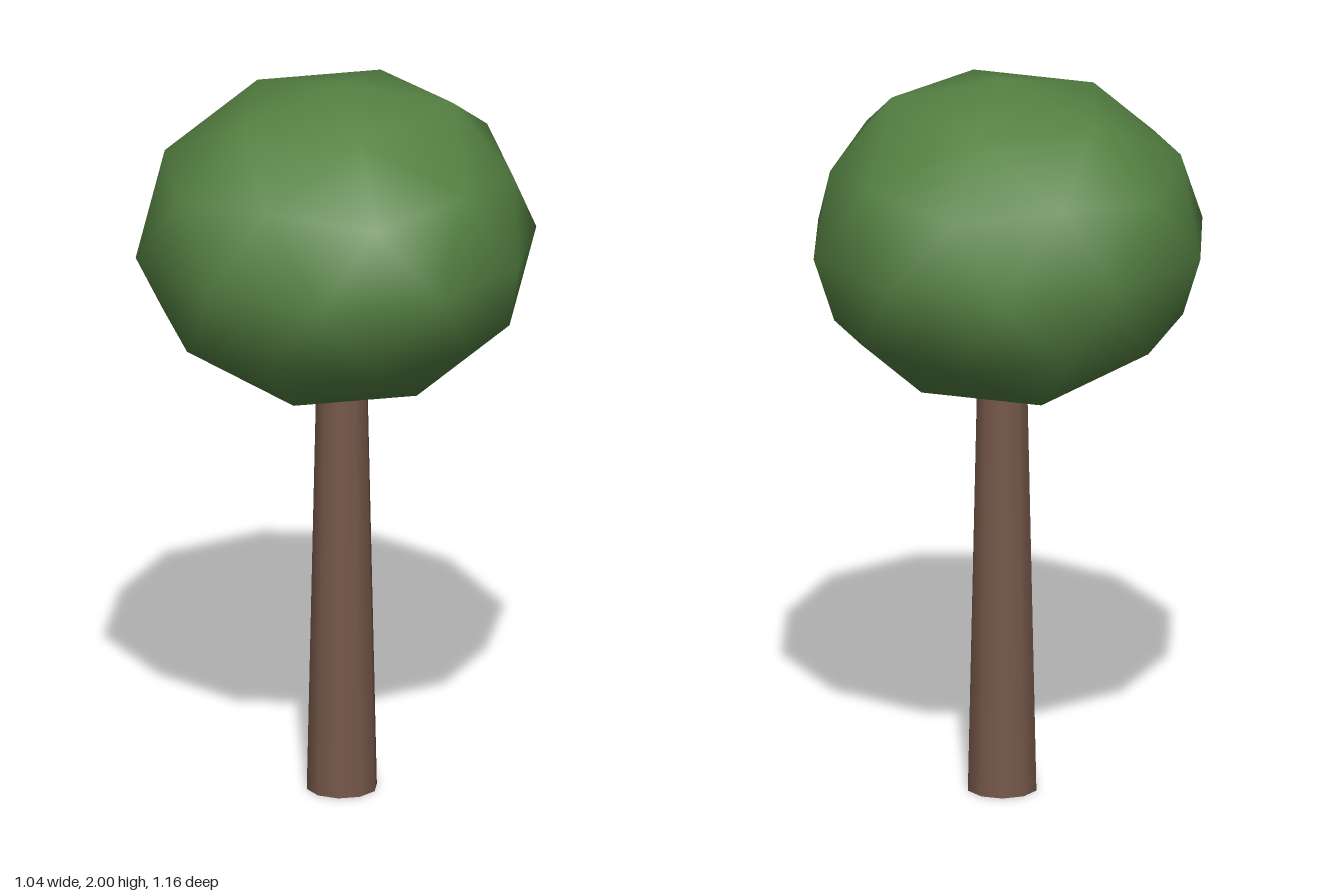
import * as THREE from 'three';
import { mergeVertices } from 'three/addons/utils/BufferGeometryUtils.js';

const leafGreen = new THREE.MeshStandardMaterial({ color: 0x568243 });
leafGreen.name = 'leafGreen';
const barkBrown = new THREE.MeshStandardMaterial({ color: 0x765849 });
barkBrown.name = 'barkBrown';

// Slightly irregular corners of the crown: the widest ring, then the sides
const CORNERS = [
  [0.015, 1.55, -0.58], [0.32, 1.55, -0.43], [0.52, 1.55, -0.16], [0.505, 1.55, 0.18], [0.32, 1.55, 0.45],
  [0.015, 1.55, 0.577], [-0.3, 1.55, 0.46], [-0.523, 1.55, 0.19], [-0.515, 1.55, -0.17], [-0.29, 1.55, -0.43],
  [0.31, 1.953, 0], [0.475, 1.745, 0], [-0.47, 1.34, 0], [-0.26, 1.178, 0], [0.015, 2, 0.01],
];

// Smooth 80-face sphere standing on a corner, squashed and nudged out of true
function crownGeometry() {
  let geo = new THREE.IcosahedronGeometry(1, 1);
  geo.deleteAttribute('uv');
  geo.deleteAttribute('normal');
  geo = mergeVertices(geo, 1e-3);
  geo.rotateZ(-Math.atan(2 / (1 + Math.sqrt(5))));
  geo.scale(0.545, 0.443, 0.58);
  geo.translate(0, 1.557, 0);

  const pos = geo.attributes.position;
  const v = new THREE.Vector3();
  for (const corner of CORNERS) {
    const target = new THREE.Vector3(...corner);
    let nearest = 0, best = Infinity;
    for (let i = 0; i < pos.count; i++) {
      const d = v.fromBufferAttribute(pos, i).distanceTo(target);
      if (d < best) { best = d; nearest = i; }
    }
    pos.setXYZ(nearest, ...corner);
  }
  geo.computeVertexNormals();
  return geo;
}

export function createModel() {
  const tree = new THREE.Group();
  tree.name = 'tree';

  const crown = new THREE.Mesh(crownGeometry(), leafGreen);
  crown.name = 'crown';
  tree.add(crown);

  // Tapered trunk, its top hidden inside the crown
  const trunk = new THREE.Mesh(new THREE.CylinderGeometry(0.068, 0.096, 1.25, 10), barkBrown);
  trunk.name = 'trunk';
  trunk.position.set(0.014, 0.625, 0.014);
  tree.add(trunk);

  return tree;
}
